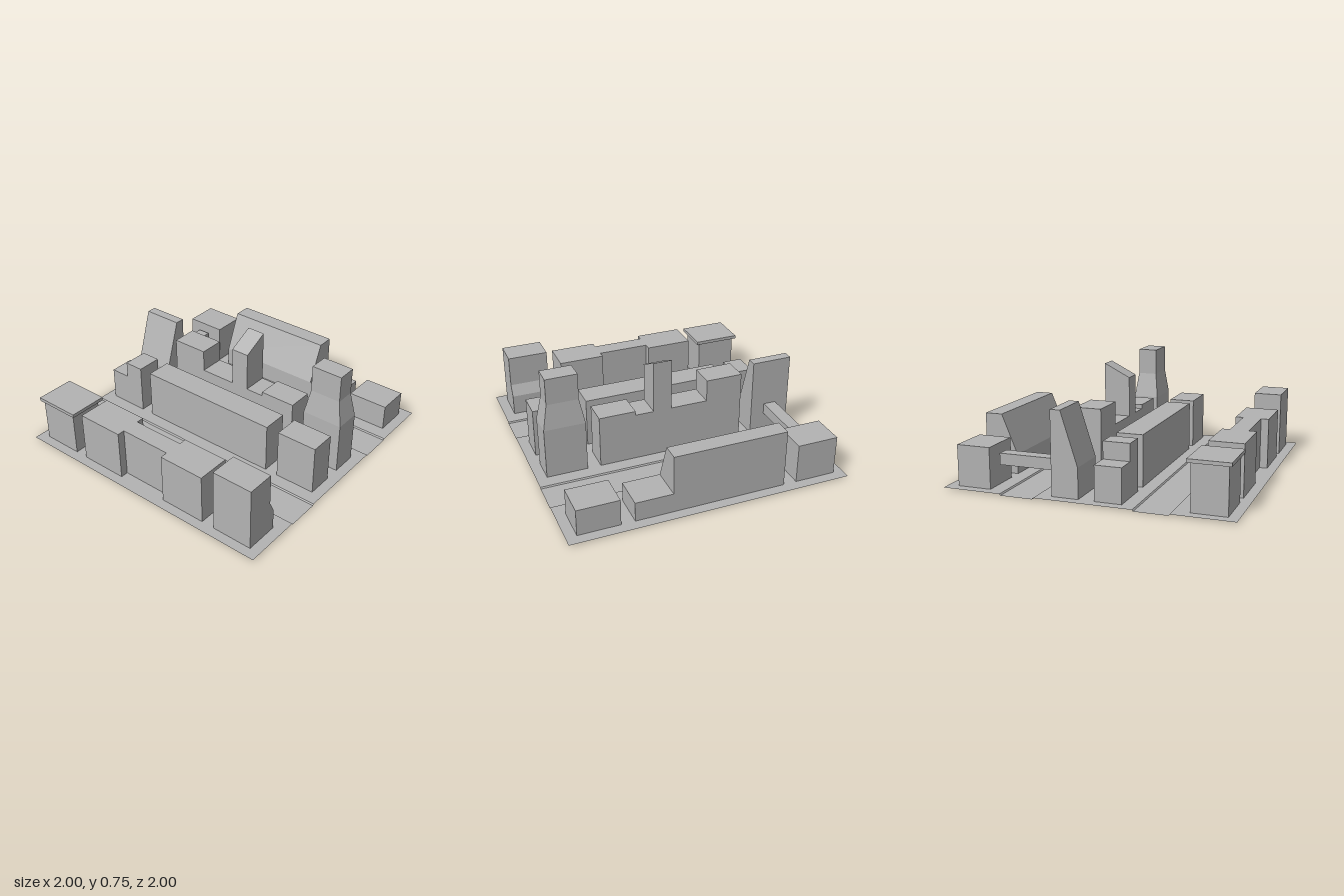
import * as THREE from 'three';

export function createModel() {
  const model = new THREE.Group();
  model.name = 'cityBlock';

  const concrete = new THREE.MeshStandardMaterial({ color: 0xb3b3b3 });
  concrete.name = 'concrete grey';
  const paving = new THREE.MeshStandardMaterial({ color: 0xb3b3b3, side: THREE.DoubleSide });
  paving.name = 'paving grey';

  const GROUND = 0.01;

  function add(name, geometry, material = concrete, parent = model) {
    const mesh = new THREE.Mesh(geometry, material);
    mesh.name = name;
    parent.add(mesh);
    return mesh;
  }

  function group(name) {
    const g = new THREE.Group();
    g.name = name;
    model.add(g);
    return g;
  }

  // box given by its bounds
  function block(name, [x0, x1], [y0, y1], [z0, z1], parent) {
    const g = new THREE.BoxGeometry(x1 - x0, y1 - y0, z1 - z0);
    g.translate((x0 + x1) / 2, (y0 + y1) / 2, (z0 + z1) / 2);
    return add(name, g, concrete, parent);
  }

  const shapeOf = (points) => new THREE.Shape(points.map(([a, b]) => new THREE.Vector2(a, b)));

  // front outline (x, y) run along z
  function prism(name, points, [z0, z1], parent) {
    const g = new THREE.ExtrudeGeometry(shapeOf(points), { depth: z1 - z0, bevelEnabled: false });
    g.translate(0, 0, z0);
    return add(name, g, concrete, parent);
  }

  // floor plan (x, z) raised to a height
  function raisedPlan(name, points, [y0, y1], parent) {
    const plan = points.map(([x, z]) => [x, -z]);
    const g = new THREE.ExtrudeGeometry(shapeOf(plan), { depth: y1 - y0, bevelEnabled: false });
    g.rotateX(-Math.PI / 2);
    g.translate(0, y0, 0);
    return add(name, g, concrete, parent);
  }

  // ground sheet with two roads sunk between sloping kerbs
  const xs = [-1, -0.582, -0.575, -0.345, -0.338, 0.338, 0.345, 0.575, 0.582, 1];
  const sunk = [2, 3, 6, 7];
  const sheet = new THREE.PlaneGeometry(2, 2, xs.length - 1, 1);
  sheet.rotateX(-Math.PI / 2);
  const sp = sheet.attributes.position;
  for (let i = 0; i < sp.count; i++) {
    const column = i % xs.length;
    sp.setX(i, xs[column]);
    sp.setY(i, sunk.includes(column) ? 0 : GROUND);
  }
  const ground = sheet.toNonIndexed();
  ground.computeVertexNormals();
  add('ground', ground, paving);

  // depth ranges shared by every row of buildings
  const FRONT = [0.63, 0.925];
  const MIDDLE = [-0.54, 0.535];
  const BACK = [-0.93, -0.635];

  // outer row on the right: stepped tower, waisted hall, slab-roofed house
  const A = [-0.93, -0.69];
  prism('steppedTower', [
    [A[0], GROUND], [A[1], GROUND], [A[1], 0.16], [-0.73, 0.24], [-0.73, 0.465], [A[0], 0.465],
  ], FRONT);
  raisedPlan('waistedHall', [
    [A[0], MIDDLE[0]], [A[1], MIDDLE[0]], [A[1], -0.19], [-0.745, -0.19],
    [-0.745, 0.195], [A[1], 0.195], [A[1], MIDDLE[1]], [A[0], MIDDLE[1]],
    [A[0], 0.195], [-0.875, 0.195], [-0.875, -0.19], [A[0], -0.19],
  ], [GROUND, 0.37]);
  const house = group('slabRoofHouse');
  block('houseWalls', A, [GROUND, 0.33], BACK, house);
  block('houseRoofSlab', [-0.95, -0.667], [0.33, 0.355], [-0.95, -0.608], house);

  // inner row on the right: plain blocks and a stepped one
  const B = [-0.245, -0.058];
  block('plainBlock', B, [GROUND, 0.37], FRONT);
  block('longBlock', B, [GROUND, 0.37], MIDDLE);
  const stepped = group('steppedBlock');
  block('upperStep', B, [GROUND, 0.37], [-0.78, BACK[1]], stepped);
  block('lowerStep', B, [GROUND, 0.25], [BACK[0], -0.78], stepped);

  // tapered tower: a box whose rings narrow towards the top
  const C = [0.053, 0.24];
  const rings = [
    { y: GROUND, w: 0.187, d: 0.295 },
    { y: 0.38, w: 0.187, d: 0.295 },
    { y: 0.56, w: 0.14, d: 0.226 },
    { y: 0.75, w: 0.14, d: 0.226 },
  ];
  const tapered = new THREE.BoxGeometry(1, 1, 1, 1, 3, 1);
  const tp = tapered.attributes.position;
  for (let i = 0; i < tp.count; i++) {
    const r = rings[Math.round((tp.getY(i) + 0.5) * 3)];
    tp.setXYZ(i, tp.getX(i) * r.w + 0.1465, r.y, tp.getZ(i) * r.d + 0.7775);
  }
  const towerGeometry = tapered.toNonIndexed();
  towerGeometry.computeVertexNormals();
  add('taperedTower', towerGeometry);

  // long hall of varying height with a slant-topped tower
  const hall = group('towerHall');
  [
    ['hallFront', 0.39, [0.27, MIDDLE[1]]],
    ['hallLink', 0.36, [0.135, 0.27]],
    ['hallCentre', 0.36, [-0.27, 0]],
    ['hallRear', 0.52, [MIDDLE[0], -0.27]],
  ].forEach(([name, top, z]) => block(name, C, [GROUND, top], z, hall));
  prism('hallTower', [
    [C[0], GROUND], [C[1], GROUND], [C[1], 0.737], [C[0], 0.643],
  ], [0, 0.135], hall);

  // steep-roofed building with a bridge reaching over the road
  const bridgeHouse = group('bridgeHouse');
  prism('steepRoofBuilding', [
    [C[0], GROUND], [C[1], GROUND], [C[1], 0.585], [0.17, 0.585], [C[0], 0.22],
  ], BACK, bridgeHouse);
  block('bridge', [C[1], 0.663], [0.155, 0.235], [-0.83, -0.738], bridgeHouse);

  // outer row on the left: low block, slope-sided hall, rear block
  const D = [0.685, 0.925];
  block('lowBlock', D, [GROUND, 0.2], FRONT);
  const slopeHall = group('slopeSidedHall');
  block('slopeHallPorch', D, [GROUND, 0.15], [0.27, MIDDLE[1]], slopeHall);
  prism('slopeHallBody', [
    [D[0], GROUND], [D[1], GROUND], [D[1], 0.43], [0.8, 0.43], [D[0], 0.15],
  ], [MIDDLE[0], 0.27], slopeHall);
  block('rearBlock', D, [GROUND, 0.295], BACK);

  return model;
}
